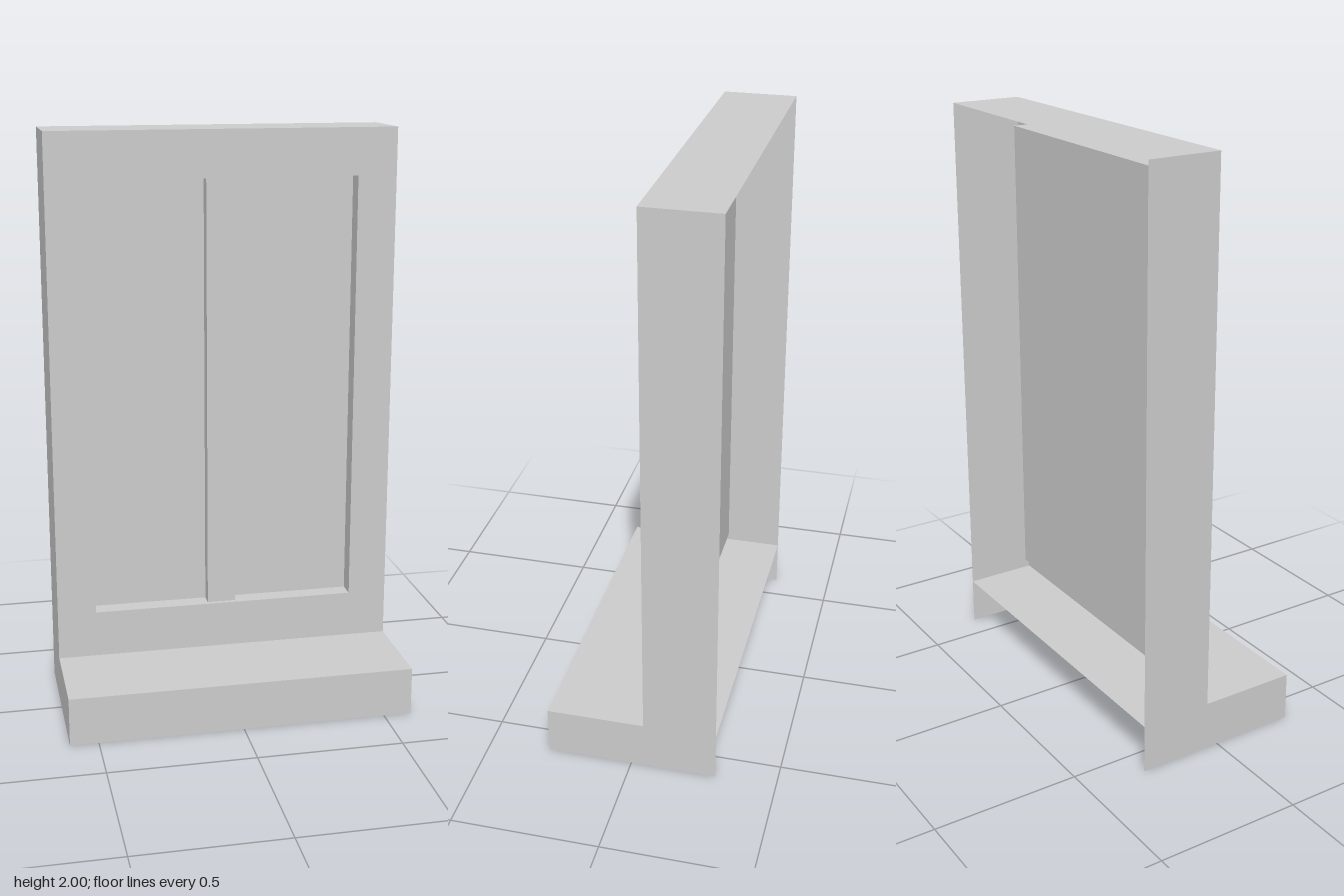
import * as THREE from 'three';

const W = 1.195, X = W / 2;            // overall width
const BACK = -0.293, FRONT = 0.293;    // depth limits
const FACE = -0.043;                   // plane of the window face
const SILL = 0.168, TOP = 2;           // sill height, overall height
const RECESS = 0.065;                  // depth of the glazing behind the face

const material = new THREE.MeshStandardMaterial({
  color: 0xcccccc, flatShading: true, side: THREE.DoubleSide,
});

function rect(Type, x0, y0, x1, y1) {
  return new Type([[x0, y0], [x1, y0], [x1, y1], [x0, y1]].map(p => new THREE.Vector2(...p)));
}

export function createModel() {
  const group = new THREE.Group();
  const add = (name, geometry, x = 0, y = 0, z = 0) => {
    const mesh = new THREE.Mesh(geometry, material);
    mesh.name = name;
    mesh.position.set(x, y, z);
    group.add(mesh);
    return mesh;
  };
  // horizontal sheet facing up
  const deck = (name, y, z0, z1) =>
    add(name, new THREE.PlaneGeometry(W, z1 - z0).rotateX(-Math.PI / 2), 0, y, (z0 + z1) / 2);

  // L-shaped side walls, drawn as (-z, y) and turned to face sideways
  const side = new THREE.Shape([
    [-FRONT, 0], [-BACK, 0], [-BACK, TOP], [-FACE, TOP], [-FACE, SILL], [-FRONT, SILL],
  ].map(p => new THREE.Vector2(...p)));
  const sideGeometry = new THREE.ShapeGeometry(side).rotateY(Math.PI / 2);
  add('leftWall', sideGeometry, X);
  add('rightWall', sideGeometry, -X);

  // top, sill and sill front; the back and underside stay open
  deck('topBoard', TOP, BACK, FACE);
  deck('sillBoard', SILL, BACK, FRONT);
  add('sillFront', new THREE.PlaneGeometry(W, SILL), 0, SILL / 2, FRONT);

  // face with the window opening
  const opening = [-0.463, 0.33, 0.463, 1.84];
  const face = rect(THREE.Shape, -X, SILL, X, TOP);
  face.holes.push(rect(THREE.Path, ...opening));
  add('faceFrame', new THREE.ShapeGeometry(face), 0, 0, FACE);

  // lining around the opening, reaching back to the pane
  const paneBounds = [-X + 0.09, SILL + 0.082, X - 0.09, TOP - 0.082];
  const lining = rect(THREE.Shape, ...paneBounds);
  lining.holes.push(rect(THREE.Path, ...opening));
  add('openingLining',
    new THREE.ExtrudeGeometry(lining, { depth: RECESS - 0.002, bevelEnabled: false }),
    0, 0, FACE - RECESS);

  // pane and its centre bar
  add('pane', new THREE.ShapeGeometry(rect(THREE.Shape, ...paneBounds)), 0, 0, FACE - RECESS);
  const barDepth = RECESS - 0.018;
  add('centreBar', new THREE.BoxGeometry(0.1, opening[3] - opening[1], barDepth),
    -0.008, (opening[1] + opening[3]) / 2, FACE - RECESS + barDepth / 2);

  return group;
}
